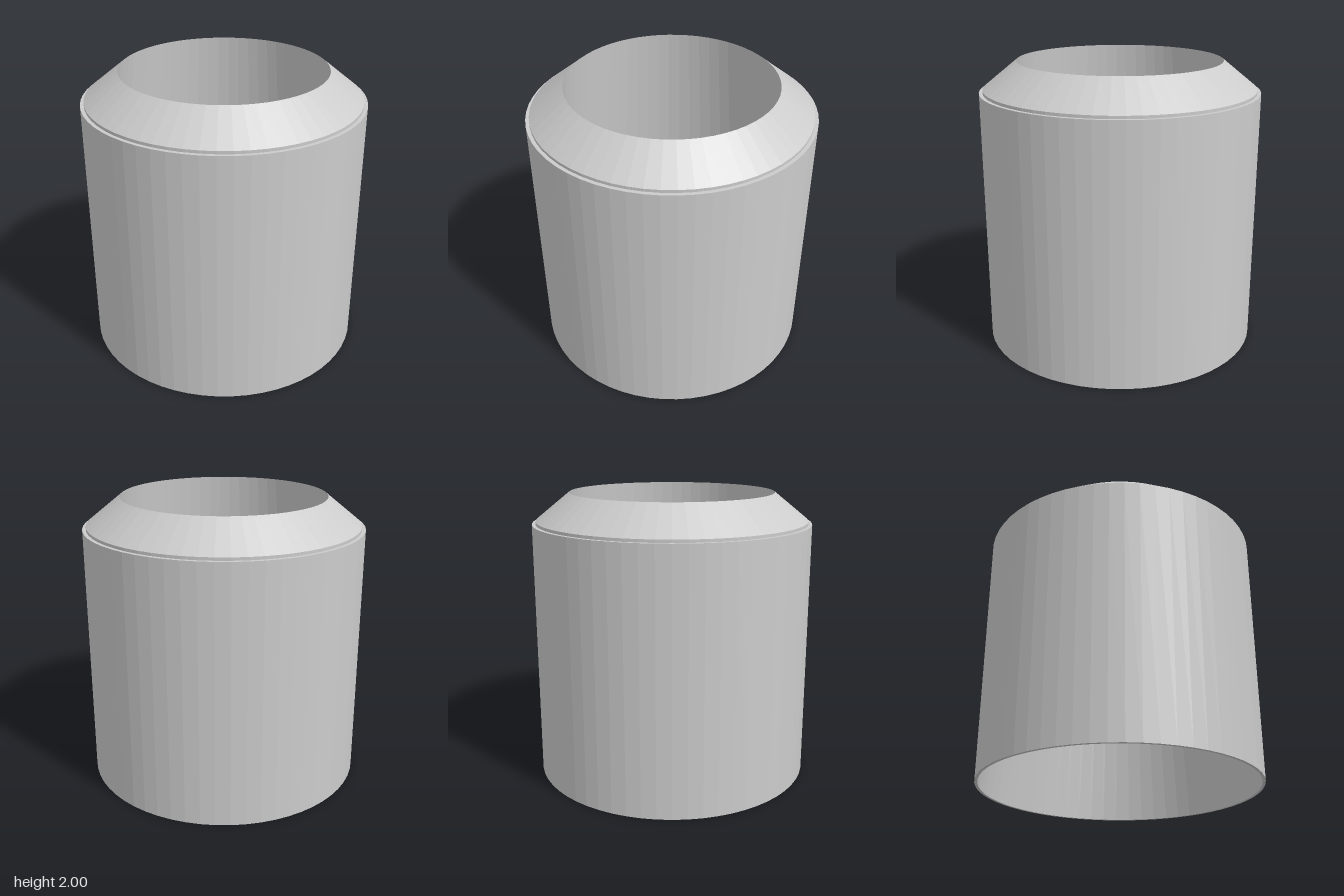
import * as THREE from 'three';

const SEGMENTS = 60;

// Revolves a profile of [radius, height] pairs into a faceted ring surface
function revolve(name, profile, material) {
  const points = profile.map(([r, y]) => new THREE.Vector2(r, y));
  const mesh = new THREE.Mesh(new THREE.LatheGeometry(points, SEGMENTS), material);
  mesh.name = name;
  return mesh;
}

export function createModel() {
  const group = new THREE.Group();
  group.name = 'chamferedSleeve';
  const material = new THREE.MeshStandardMaterial({ color: 0xcccccc, flatShading: true });

  const boreRadius = 0.95, outerRadius = 0.97, neckRadius = 0.945, mouthRadius = 0.71;
  const shoulderY = 1.79, neckY = 1.81, topY = 2;

  // Bottom lip, straight outer wall and narrow shoulder ledge
  group.add(revolve('outerWall', [
    [boreRadius, 0], [outerRadius, 0], [outerRadius, shoulderY], [neckRadius, shoulderY],
  ], material));

  // Short neck and sloping collar up to the sharp mouth
  group.add(revolve('collar', [
    [neckRadius, shoulderY], [neckRadius, neckY], [mouthRadius, topY],
  ], material));

  // Tapered through-hole, facing inward
  group.add(revolve('bore', [[mouthRadius, topY], [boreRadius, 0]], material));

  return group;
}
